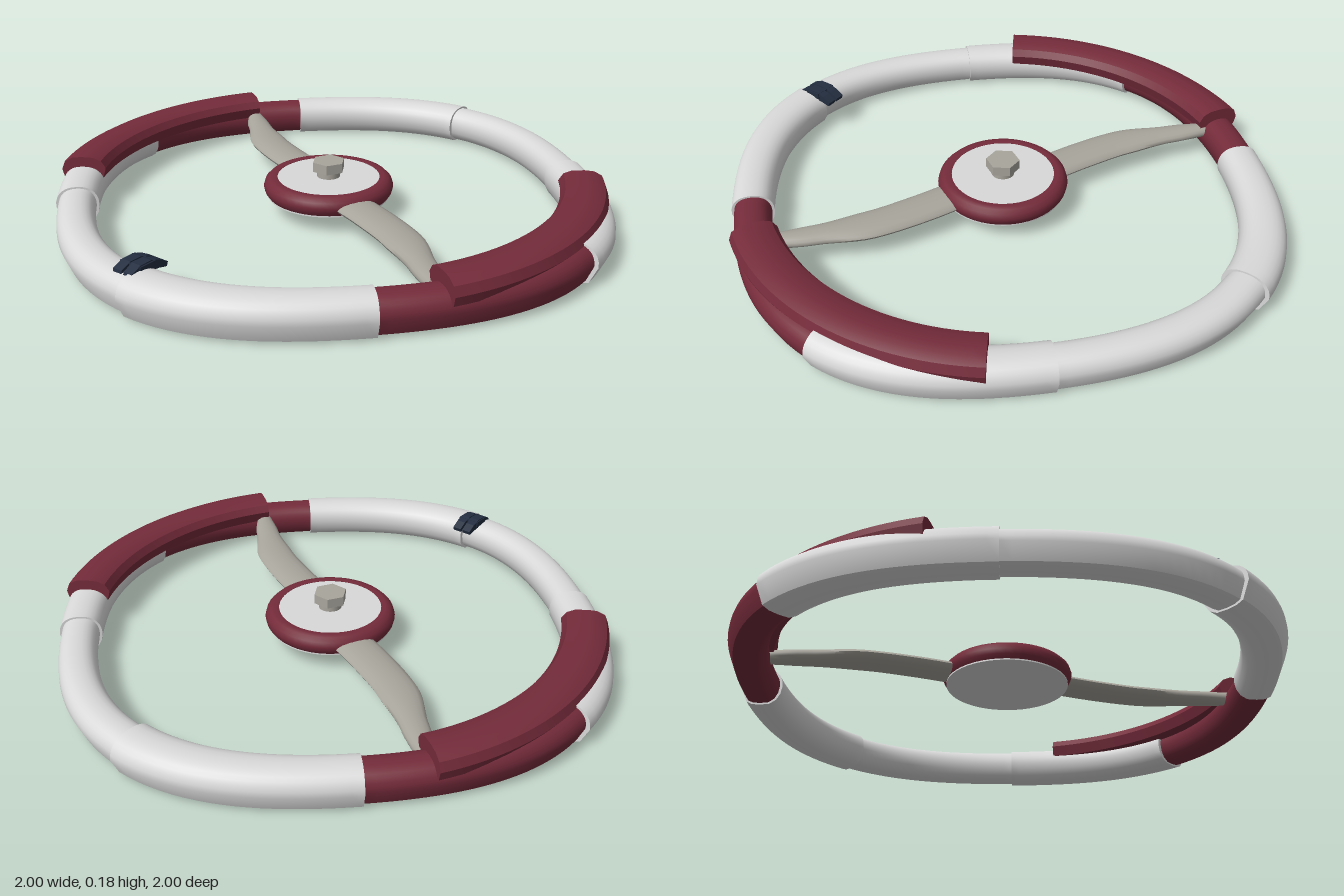
import * as THREE from 'three';
import { toCreasedNormals } from 'three/addons/utils/BufferGeometryUtils.js';

const flat = (name, color) => Object.assign(new THREE.MeshStandardMaterial({ color }), { name });
const UP = new THREE.Vector3(0, 1, 0);

// Sweep a counter-clockwise profile (u = sideways, v = up) along a level path, with closed ends.
// frames: [{ p: centre, t: direction, profile: [[u, v], ...] }]
function sweep(frames, crease) {
  const rings = frames.map(({ p, t, profile }) => {
    const side = UP.clone().cross(t).normalize();
    return profile.map(([u, v]) => p.clone().addScaledVector(side, u).addScaledVector(UP, v));
  });
  const pos = [];
  const tri = (...pts) => pts.forEach((q) => pos.push(q.x, q.y, q.z));
  const n = rings[0].length;
  for (let i = 0; i < rings.length - 1; i++) {
    for (let j = 0; j < n; j++) {
      const k = (j + 1) % n;
      tri(rings[i][j], rings[i][k], rings[i + 1][k]);
      tri(rings[i][j], rings[i + 1][k], rings[i + 1][j]);
    }
  }
  const last = rings.length - 1;
  for (let j = 0; j < n; j++) {
    const k = (j + 1) % n;
    tri(frames[0].p, rings[0][k], rings[0][j]);
    tri(frames[last].p, rings[last][j], rings[last][k]);
  }
  const g = new THREE.BufferGeometry();
  g.setAttribute('position', new THREE.Float32BufferAttribute(pos, 3));
  return toCreasedNormals(g, crease);
}

// Slightly squared-off circle that the rim follows
function rimPoint(a, y) {
  const r = 0.89 + 0.029 * Math.cos(4 * a);
  return new THREE.Vector3(r * Math.cos(a), y, r * Math.sin(a));
}

// Rim section: rounded on top, with an edge along the outer middle and a sloped underside
function rimProfile(w, h) {
  const pts = [];
  for (let i = 0; i <= 14; i++) {
    const a = (i / 14) * Math.PI;
    const c = Math.cos(a);
    pts.push([w * Math.sign(c) * Math.abs(c) ** 0.85, h * Math.sin(a) ** 0.85]);
  }
  for (const [u, v] of [[-0.93, -0.4], [-0.75, -0.74], [-0.45, -0.96], [0, -1], [0.4, -0.97], [0.68, -0.84]]) {
    pts.push([u * w, v * h]);
  }
  return pts;
}

function rimSegment(start, large) {
  const frames = [];
  for (let i = 0; i <= 20; i++) {
    const a = start + (i / 20) * (Math.PI / 4);
    const p = rimPoint(a, 0.068);
    const t = rimPoint(a + 1e-3, 0).sub(rimPoint(a - 1e-3, 0)).normalize();
    const swell = 0.5 + 0.5 * Math.cos(4 * a);
    const w = large ? 0.072 + 0.009 * swell : 0.063 + 0.004 * swell;
    frames.push({ p, t, profile: rimProfile(w, large ? 0.068 : 0.062) });
  }
  return sweep(frames, 0.6);
}

// Flat-topped palm pad lying on the rim
function padGeometry() {
  const profile = [[0.9, -1], [1, -0.2], [0.85, 0.55], [0.5, 0.92], [0.1, 1],
    [-0.45, 0.95], [-0.8, 0.65], [-1, 0], [-0.85, -1]].map(([u, v]) => [u * 0.079, v * 0.039]);
  const frames = [];
  for (let i = 0; i <= 28; i++) {
    const a = (i / 28 - 0.5) * 1.13;
    const p = new THREE.Vector3(0.87 * Math.cos(a), 0.133, 0.87 * Math.sin(a));
    frames.push({ p, t: new THREE.Vector3(-Math.sin(a), 0, Math.cos(a)), profile });
  }
  return sweep(frames, 0.5);
}

// Curved spoke, tapering towards the rim
function spokeGeometry() {
  const path = new THREE.CatmullRomCurve3([[0.13, 0.075], [0.3, 0.145], [0.45, 0.222], [0.6, 0.34], [0.73, 0.455]]
    .map(([x, z]) => new THREE.Vector3(x, 0.088, z)));
  const widths = [0.07, 0.07, 0.068, 0.045, 0.026];
  const frames = [];
  for (let i = 0; i <= 24; i++) {
    const s = i / 24;
    const k = Math.min(3, Math.floor(s * 4));
    const w = THREE.MathUtils.lerp(widths[k], widths[k + 1], THREE.MathUtils.smoothstep(s * 4 - k, 0, 1));
    const profile = [];
    for (let j = 0; j < 16; j++) {
      const a = (j / 16) * Math.PI * 2;
      profile.push([w * Math.cos(a), 0.023 * Math.sin(a)]);
    }
    frames.push({ p: path.getPoint(s), t: path.getTangent(s), profile });
  }
  return sweep(frames, 0.9);
}

export function createModel() {
  const model = new THREE.Group();
  model.name = 'steeringWheel';
  const ivory = flat('paleGrey', 0xd9d9d9);
  const red = flat('burgundy', 0x742b3a);
  const metal = flat('warmMetal', 0xa8a59c);
  const navy = flat('darkNavy', 0x232e40);
  const add = (name, geometry, material, parent = model) => {
    const mesh = new THREE.Mesh(geometry, material);
    mesh.name = name;
    parent.add(mesh);
    return mesh;
  };

  // Rim: eight segments, thick and thin alternating, two of them burgundy
  const rim = new THREE.Group();
  rim.name = 'rim';
  model.add(rim);
  for (let i = 0; i < 8; i++) {
    add('rimSegment', rimSegment((i * Math.PI) / 4, i % 2 === 1), i % 4 === 0 ? red : ivory, rim);
  }

  // Pads and spokes, each repeated half a turn round
  const pad = padGeometry();
  const spoke = spokeGeometry();
  for (const turn of [0, Math.PI]) {
    add('gripPad', pad, red).rotation.y = turn;
    add('spoke', spoke, metal).rotation.y = turn;
  }

  // Hub: burgundy ring, pale body and hexagonal nut
  const ring = [[0.178, 0.128], [0.178, 0.066], [0.212, 0.066], [0.222, 0.08], [0.226, 0.097],
    [0.221, 0.114], [0.208, 0.127], [0.193, 0.131], [0.178, 0.128]];
  const ringPoints = ring.map(([r, y]) => new THREE.Vector2(r, y));
  // Profile runs down the bore, then up the outside
  add('hubRing', toCreasedNormals(new THREE.LatheGeometry(ringPoints, 48), 0.7), red);
  add('hubPlate', new THREE.CylinderGeometry(0.18, 0.18, 0.065, 48).translate(0, 0.0945, 0), ivory);
  add('hubBase', new THREE.CylinderGeometry(0.212, 0.212, 0.006, 48).translate(0, 0.064, 0), ivory);
  add('nutNeck', new THREE.CylinderGeometry(0.04, 0.04, 0.03, 24).translate(0, 0.14, 0), metal);
  add('hexNut', toCreasedNormals(new THREE.CylinderGeometry(0.058, 0.058, 0.034, 6)
    .rotateY(Math.PI / 6).translate(0, 0.167, 0), 0.3), metal);

  // Small strap clipped over the front of the rim
  const strap = new THREE.Group();
  strap.name = 'rimStrap';
  model.add(strap);
  const arch = [[0.95, 0.115], [0.945, 0.135], [0.91, 0.15], [0.87, 0.151], [0.835, 0.14],
    [0.805, 0.122], [0.81, 0.108], [0.84, 0.115], [0.9, 0.12]];
  const shape = new THREE.Shape(arch.map(([z, y]) => new THREE.Vector2(-z, y)));
  const band = new THREE.ExtrudeGeometry(shape, { depth: 0.034, bevelEnabled: false }).rotateY(Math.PI / 2);
  for (const x of [-0.06, -0.018]) add('strapBand', band, navy, strap).position.x = x;
  add('strapBridge', new THREE.BoxGeometry(0.084, 0.022, 0.06).translate(-0.022, 0.136, 0.885), navy, strap);
  return model;
}
